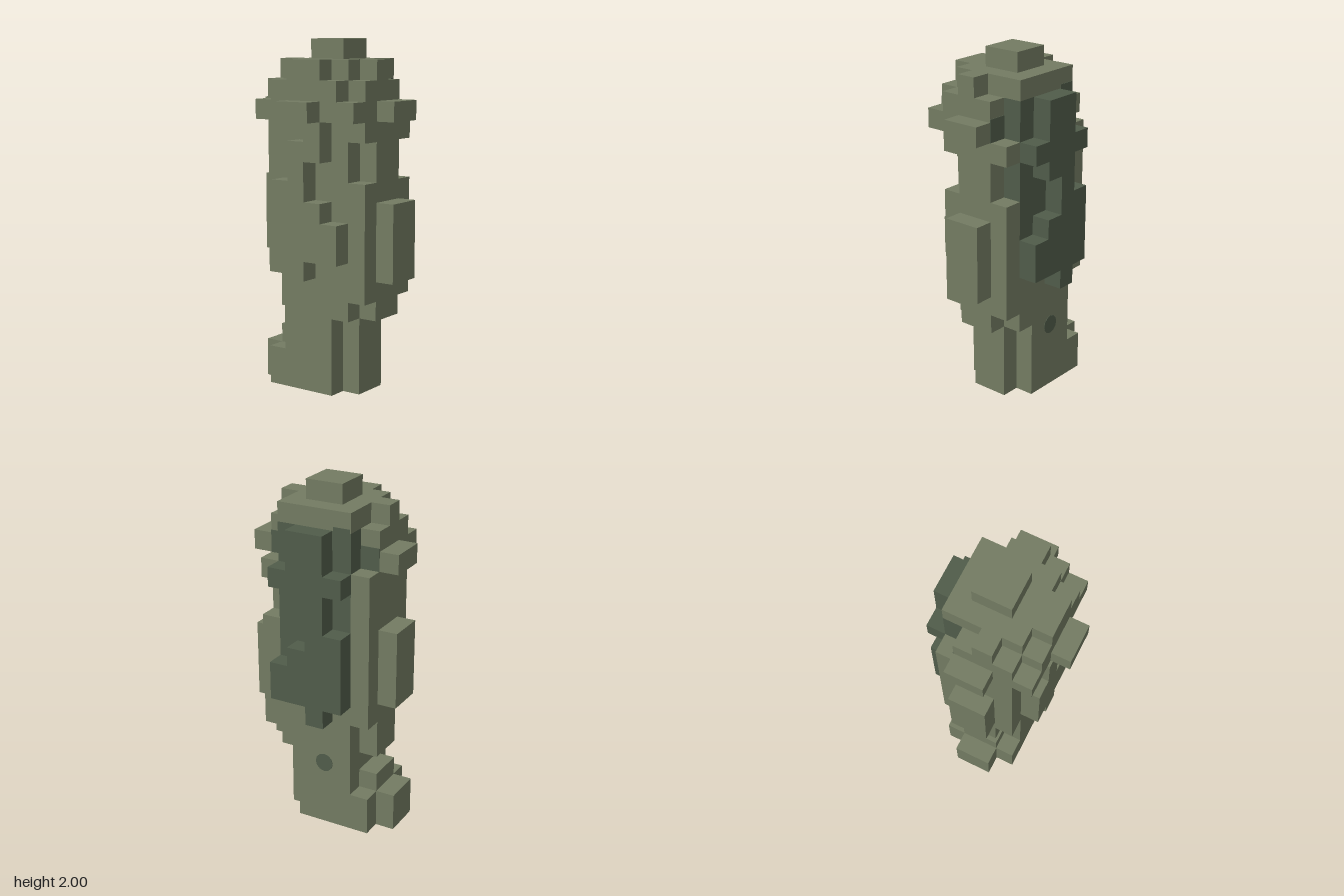
import * as THREE from 'three';

const U = 1 / 9; // edge of one block
const olive = new THREE.MeshStandardMaterial({ color: 0x737b62 });
olive.name = 'olive';
const darkGreen = new THREE.MeshStandardMaterial({ color: 0x505c4a });
darkGreen.name = 'darkGreen';

// Box between block-grid lines: x 0..7, y 0..18, z 0..8 (8 = front)
function block(group, name, [x0, x1, y0, y1, z0, z1], material = olive) {
  const mesh = new THREE.Mesh(
    new THREE.BoxGeometry((x1 - x0) * U, (y1 - y0) * U, (z1 - z0) * U), material);
  mesh.position.set(((x0 + x1) / 2 - 3.5) * U, (y0 + y1) / 2 * U, ((z0 + z1) / 2 - 4) * U);
  mesh.name = name;
  group.add(mesh);
  return mesh;
}

function part(parent, name, boxes, material) {
  const g = new THREE.Group();
  g.name = name;
  boxes.forEach((b, i) => block(g, name + 'Block' + (i + 1), b, material));
  parent.add(g);
  return g;
}

export function createModel() {
  const model = new THREE.Group();
  model.name = 'blockFigure';

  // Lower body
  part(model, 'legs', [[2, 6, 0, 4, 2, 5], [3, 5, 0, 4, 5, 6]]);
  part(model, 'heel', [[2, 6, 0, 2, 1, 2], [3, 5, 2, 3, 1, 2], [3, 5, 0, 2, 0, 1]]);
  part(model, 'hips', [
    [2, 6, 4, 5, 2, 6], [3, 5, 4, 5, 6, 7], [3, 5, 4, 6, 1, 2],
    [2, 6, 5, 6, 2, 7], [2, 6, 6, 7, 1, 7],
  ]);

  // Torso, notched at both front corners below the neck
  part(model, 'torso', [
    [2, 5, 7, 11, 1, 7], [5, 6, 7, 11, 6, 7], [5, 6, 7, 14, 1, 2],
    [2, 5, 11, 13, 1, 6], [3, 5, 11, 13, 6, 7],
    [2, 5, 13, 14, 1, 7], [5, 6, 13, 14, 6, 7],
  ]);
  block(model, 'chestPlate', [3, 5, 6, 10, 7, 8]);
  block(model, 'backPlate', [3, 5, 7, 11, 0, 1]);

  // Head with stepped cap
  part(model, 'head', [[2, 5, 14, 16, 1, 7], [1, 2, 14, 15, 1, 7], [1, 2, 15, 16, 2, 6]]);
  part(model, 'cap', [[2, 6, 16, 17, 2, 6], [3, 4, 16, 17, 1, 7], [1, 2, 16, 17, 3, 5], [3, 5, 17, 18, 3, 5]]);
  part(model, 'headKnobs', [[3, 5, 14, 15, 7, 8], [3, 5, 14, 15, 0, 1], [0, 1, 14, 15, 3, 5]]);

  // Side panels, one row of blocks per entry: y0, y1, z0, z1
  const rows = [[6, 7, 3, 4], [7, 9, 2, 6], [9, 10, 2, 5], [10, 11, 2, 4], [11, 12, 3, 4], [12, 13, 3, 5]];
  part(model, 'rightPanel', [...rows, [13, 14, 4, 5]].map(r => [1, 2, ...r]));
  part(model, 'leftPanel', [
    ...[...rows, [13, 14, 2, 6], [14, 16, 3, 5]].map(r => [6, 7, ...r]),
    [5, 6, 7, 16, 2, 6],
  ], darkGreen);

  // Painted patches
  for (const z of [1, 6]) block(model, 'headPatch', [5, 5.03, 14, 15.15, z, z + 1], darkGreen);
  block(model, 'capPatch', [6, 6.03, 16, 16.2, 2.05, 2.95], darkGreen);
  block(model, 'solePatch', [3.1, 4.9, -0.02, 0.02, 1.2, 4.8], darkGreen);
  const spot = new THREE.Mesh(new THREE.CylinderGeometry(0.055, 0.055, 0.004, 12), darkGreen);
  spot.rotation.z = Math.PI / 2;
  spot.position.set(2.5 * U + 0.001, 3.5 * U, -0.5 * U);
  spot.name = 'legSpot';
  model.add(spot);

  return model;
}
